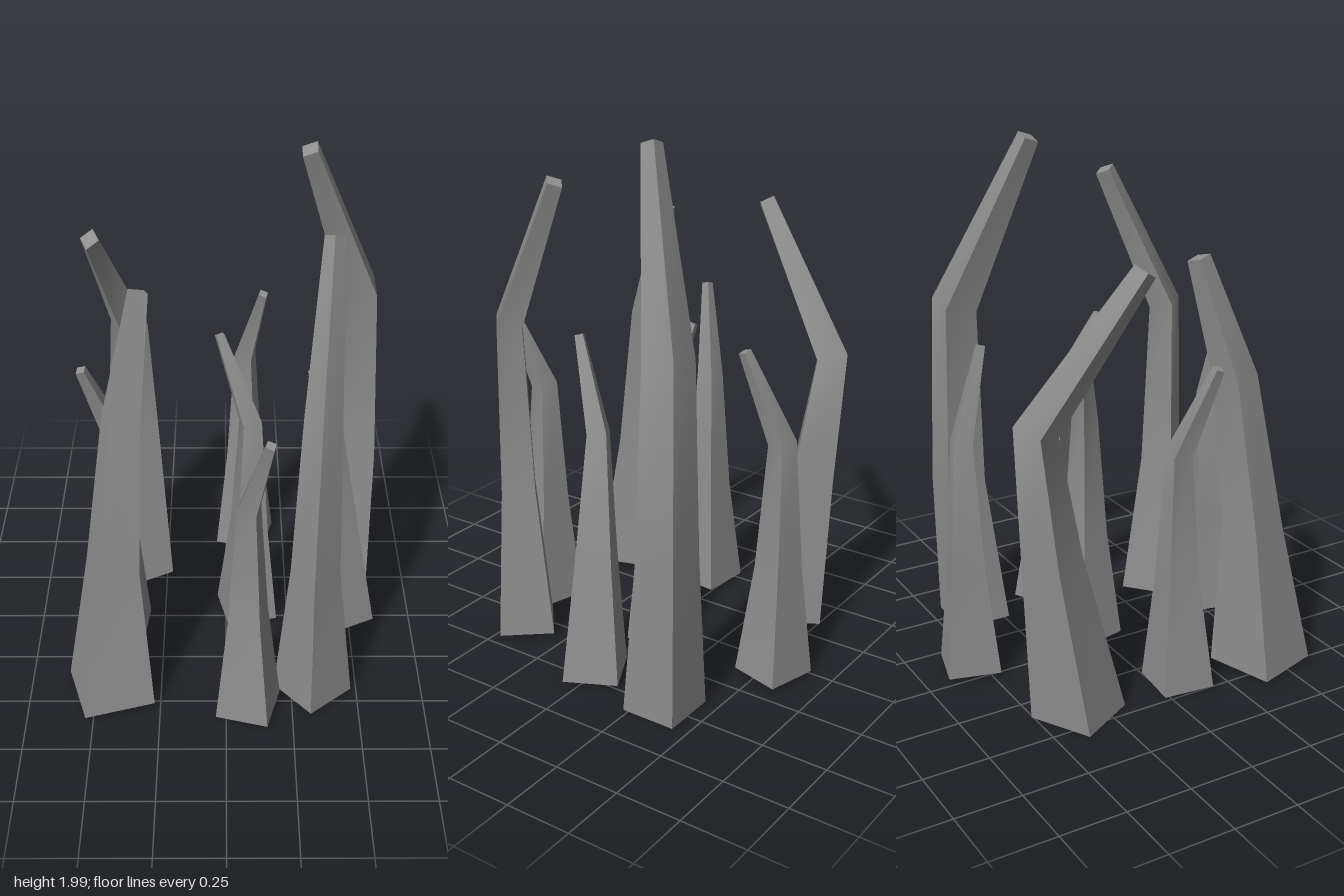
import * as THREE from 'three';
import { toCreasedNormals } from 'three/addons/utils/BufferGeometryUtils.js';

const material = new THREE.MeshStandardMaterial({ color: 0x8e8e8e });

// Four-sided tapered spike. levels: [y, x, z, corner radius] from base to tip;
// angle: direction of one corner in the x-z plane.
function spikeGeometry(angle, levels) {
  const [bend, tip] = levels.slice(-2);
  const leanX = (tip[1] - bend[1]) / (tip[0] - bend[0]);
  const leanZ = (tip[2] - bend[2]) / (tip[0] - bend[0]);
  const positions = [];
  const index = [];

  levels.forEach(([y, x, z, r], level) => {
    // The tip is cut square to its lean, the bend is mitred halfway
    const tilt = level === 3 ? 1 : level === 2 ? 0.5 : 0;
    for (let i = 0; i < 4; i++) {
      const a = angle + (i * Math.PI) / 2;
      const dx = r * Math.cos(a);
      const dz = r * Math.sin(a);
      positions.push(x + dx, y - tilt * (dx * leanX + dz * leanZ), z + dz);
    }
  });

  // Sides
  for (let level = 0; level < levels.length - 1; level++) {
    for (let i = 0; i < 4; i++) {
      const a = level * 4 + i;
      const b = level * 4 + ((i + 1) % 4);
      index.push(a, a + 4, b, b, a + 4, b + 4);
    }
  }
  // Base and tip caps
  const t = (levels.length - 1) * 4;
  index.push(0, 1, 2, 0, 2, 3, t, t + 2, t + 1, t, t + 3, t + 2);

  const geometry = new THREE.BufferGeometry();
  geometry.setAttribute('position', new THREE.Float32BufferAttribute(positions, 3));
  geometry.setIndex(index);
  // Smooth along each side through the bends, sharp at the four corners
  return toCreasedNormals(geometry, Math.PI / 3.6);
}

// Large spikes, each with its own bend
const largeSpikes = {
  backRightSpike: [Math.atan2(0.155, -0.045), [
    [0, -0.395, -0.338, 0.175], [0.62, -0.38, -0.43, 0.11],
    [1.11, -0.387, -0.49, 0.078], [1.64, -0.49, -0.13, 0.036]]],
  frontRightSpike: [Math.atan2(-0.169, 0.09), [
    [0.02, -0.439, 0.443, 0.19], [0.58, -0.415, 0.4, 0.113],
    [1.16, -0.368, 0.335, 0.08], [1.605, -0.3, 0.21, 0.04]]],
  backLeftSpike: [Math.PI / 4, [
    [0, 0.49, -0.335, 0.15], [0.6, 0.525, -0.37, 0.112],
    [1.32, 0.513, -0.367, 0.09], [1.975, 0.293, -0.147, 0.038]]],
  frontLeftSpike: [Math.atan2(-0.148, 0.012), [
    [0.02, 0.33, 0.442, 0.148], [0.6, 0.323, 0.465, 0.09],
    [1.26, 0.328, 0.475, 0.066], [1.815, 0.362, 0.215, 0.036]]],
  leftSpike: [Math.atan2(0.137, -0.045), [
    [0.02, 0.462, 0, 0.145], [0.48, 0.43, 0.01, 0.093],
    [0.94, 0.39, 0.022, 0.05], [1.26, 0.311, 0.16, 0.021]]],
};

// Small spike shape, leaning towards its own +x
const smallLevels = [
  [0.02, 0, 0, 0.141], [0.45, -0.008, 0, 0.085],
  [0.93, -0.01, 0, 0.05], [1.265, 0.128, 0, 0.021]];

// Placement: [x, z, lean x, lean z]
const smallSpikes = {
  backSmallSpike: [0.083, -0.544, 0.063, 0.11],
  middleSmallSpike: [0.085, -0.035, -0.11, -0.068],
  frontSmallSpike: [0.083, 0.535, 0.063, 0.11],
  rightSmallSpike: [-0.418, 0.075, -0.1, 0.081],
};

export function createModel() {
  const model = new THREE.Group();
  model.name = 'spikeCluster';

  for (const [name, [angle, levels]] of Object.entries(largeSpikes)) {
    const mesh = new THREE.Mesh(spikeGeometry(angle, levels), material);
    mesh.name = name;
    model.add(mesh);
  }

  const smallGeometry = spikeGeometry(0, smallLevels);
  for (const [name, [x, z, dx, dz]] of Object.entries(smallSpikes)) {
    const mesh = new THREE.Mesh(smallGeometry, material);
    mesh.name = name;
    mesh.position.set(x, 0, z);
    mesh.rotation.y = -Math.atan2(dz, dx);
    model.add(mesh);
  }
  return model;
}
